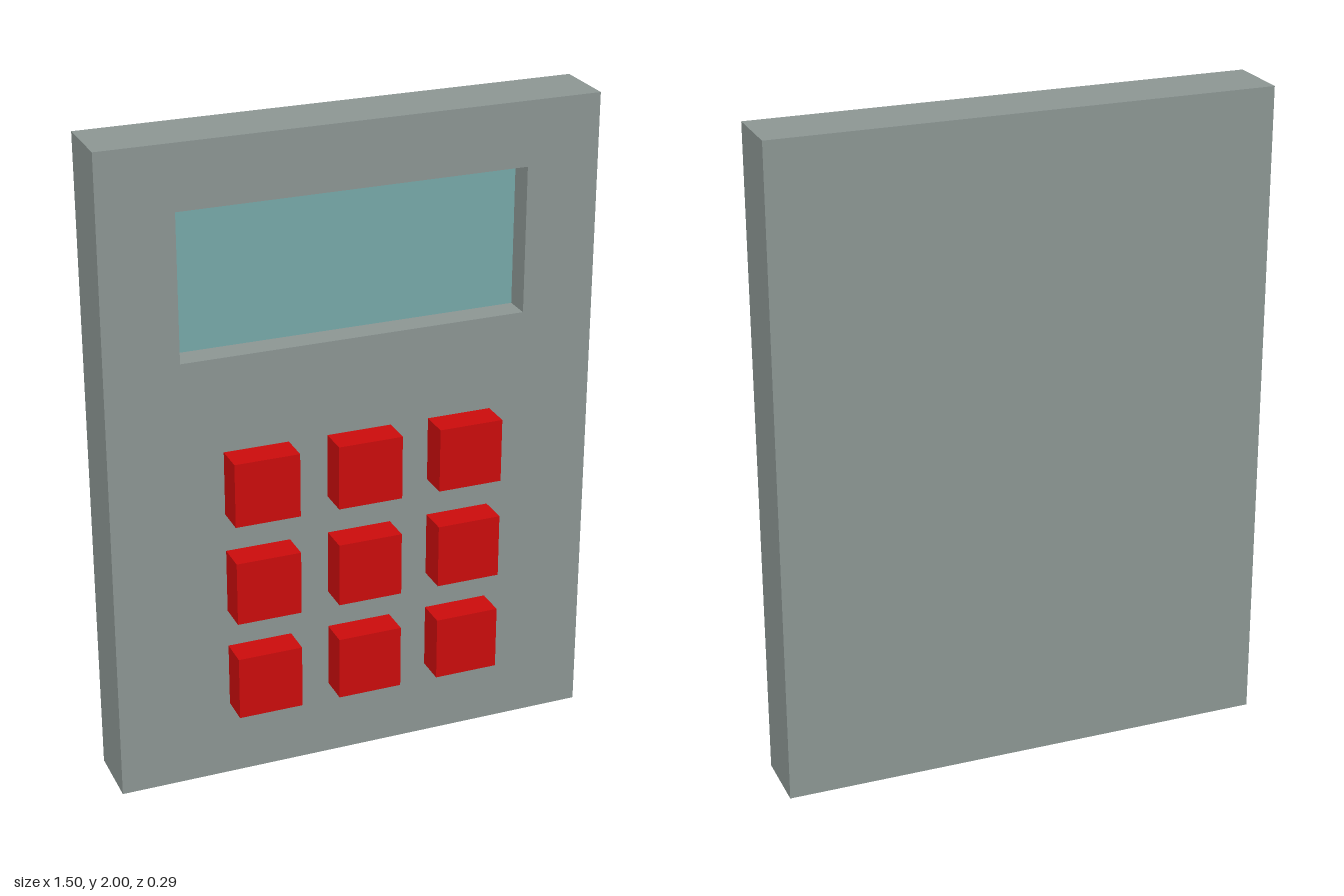
import * as THREE from 'three';

const BACK = -0.146, FACE = 0.054, FRONT = 0.146, RECESS = 0.08;
const SCREEN = { x0: -0.527, x1: 0.527, y0: 1.36, y1: 1.805 };

function rect(target, x0, y0, x1, y1) {
  target.moveTo(x0, y0);
  target.lineTo(x1, y0);
  target.lineTo(x1, y1);
  target.lineTo(x0, y1);
  target.closePath();
  return target;
}

export function createModel() {
  const group = new THREE.Group();
  const caseMat = new THREE.MeshStandardMaterial({ color: 0x8d9794 });
  const screenMat = new THREE.MeshStandardMaterial({ color: 0x78aaaa });
  const keyMat = new THREE.MeshStandardMaterial({ color: 0xcc0c0c });

  function add(name, geometry, material, x, y, z) {
    const mesh = new THREE.Mesh(geometry, material);
    mesh.name = name;
    mesh.position.set(x, y, z);
    group.add(mesh);
  }

  // Case: one slab whose outline is extruded, with a window cut for the display
  const frontShape = rect(new THREE.Shape(), -0.75, 0, 0.75, 2);
  frontShape.holes.push(rect(new THREE.Path(), SCREEN.x0, SCREEN.y0, SCREEN.x1, SCREEN.y1));
  add('case', new THREE.ExtrudeGeometry(frontShape, { depth: FACE - BACK, bevelEnabled: false }),
    caseMat, 0, 0, BACK);

  // Display: floor of the recess, and the case wall closing the window behind it
  const w = SCREEN.x1 - SCREEN.x0, h = SCREEN.y1 - SCREEN.y0;
  const cx = (SCREEN.x0 + SCREEN.x1) / 2, cy = (SCREEN.y0 + SCREEN.y1) / 2;
  add('screen', new THREE.PlaneGeometry(w, h), screenMat, cx, cy, FACE - RECESS);
  add('caseBackWall', new THREE.PlaneGeometry(w, h).rotateY(Math.PI), caseMat, cx, cy, BACK);

  // Keypad: three by three square keys standing on the face
  const keyGeo = new THREE.BoxGeometry(0.198, 0.198, FRONT - FACE);
  for (let row = 0; row < 3; row++) {
    for (let col = 0; col < 3; col++) {
      add(`key${row * 3 + col + 1}`, keyGeo, keyMat,
        0.01 + (col - 1) * 0.317, 0.97 - row * 0.316, (FACE + FRONT) / 2);
    }
  }
  return group;
}
